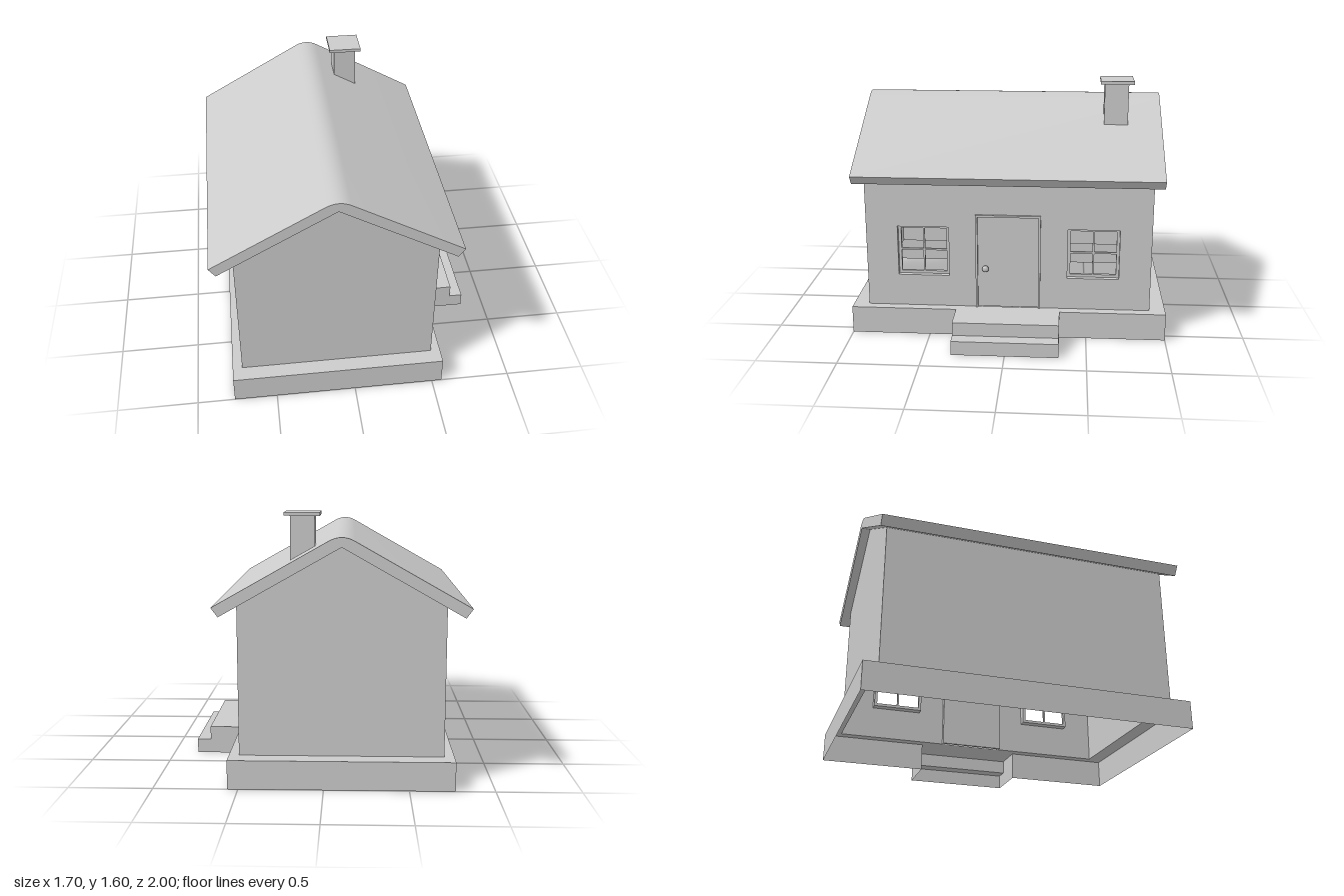
import * as THREE from 'three';
import { toCreasedNormals } from 'three/addons/utils/BufferGeometryUtils.js';

const material = new THREE.MeshStandardMaterial({ color: 0xcccccc, side: THREE.DoubleSide });

// Main dimensions
const WALL = { x0: -0.71, x1: 0.5, z: 0.9, y0: 0.175 };
const BASE = { x0: -0.77, x1: 0.56, z: 1 };
const RIDGE_X = -0.105, RIDGE_Y = 1.41, SLOPE = 0.567, ROOF_RISE = 0.077;
const STEP_Z = 0.33;
const DOOR = { z: 0.205, top: 0.795, trim: 0.013 };
const WINDOW = { z: 0.5375, y: 0.545, size: 0.325, depth: 0.04 };

const roofUnder = (x) => RIDGE_Y - Math.abs(x - RIDGE_X) * SLOPE;
const polygon = (pts) => new THREE.Shape(pts.map(([x, y]) => new THREE.Vector2(x, y)));
const rect = (x0, x1, y0, y1) => polygon([[x0, y0], [x1, y0], [x1, y1], [x0, y1]]);
const extrude = (shape, depth) =>
  new THREE.ExtrudeGeometry(shape, { depth, bevelEnabled: false, curveSegments: 12 });

function add(parent, name, geometry, x = 0, y = 0, z = 0) {
  const mesh = new THREE.Mesh(geometry, material);
  mesh.name = name;
  mesh.position.set(x, y, z);
  parent.add(mesh);
  return mesh;
}

function box(parent, name, w, h, d, x, y, z) {
  return add(parent, name, new THREE.BoxGeometry(w, h, d), x, y, z);
}

// Sweeps a line of points along one direction into flat open panels
function ribbon(pts, dir) {
  const out = [];
  const moved = pts.map((p) => p.map((v, i) => v + dir[i]));
  for (let i = 0; i + 1 < pts.length; i++) {
    const a = pts[i], b = pts[i + 1], c = moved[i + 1], d = moved[i];
    out.push(...a, ...b, ...c, ...a, ...c, ...d);
  }
  const g = new THREE.BufferGeometry();
  g.setAttribute('position', new THREE.Float32BufferAttribute(out, 3));
  g.computeVertexNormals();
  return g;
}

function makeBase() {
  const g = new THREE.Group();
  g.name = 'foundation';
  const { x0, x1, z } = BASE, h = WALL.y0;
  // Skirt, open below and behind the steps
  add(g, 'foundationSides', ribbon(
    [[x1, 0, -STEP_Z], [x1, 0, -z], [x0, 0, -z], [x0, 0, z], [x1, 0, z], [x1, 0, STEP_Z]], [0, h, 0]));
  const ledge = rect(x0, x1, -z, z);
  ledge.holes.push(rect(WALL.x0, WALL.x1, -WALL.z, WALL.z));
  add(g, 'foundationLedge', new THREE.ShapeGeometry(ledge).rotateX(-Math.PI / 2), 0, h, 0);

  // Two steps up to the door
  const profile = [[x1, h], [0.76, h], [0.76, 0.09], [0.845, 0.09], [0.845, 0]];
  add(g, 'steps', ribbon(profile.map(([x, y]) => [x, y, STEP_Z]), [0, 0, -2 * STEP_Z]));
  for (const s of [-1, 1]) {
    add(g, 'stepSide', new THREE.ShapeGeometry(polygon([[x1, 0], ...profile])), 0, 0, s * STEP_Z);
  }
  return g;
}

function makeWalls() {
  const g = new THREE.Group();
  g.name = 'walls';
  const { x0, x1, z, y0 } = WALL, eave = roofUnder(x1);
  const gable = polygon([[x0, y0], [x1, y0], [x1, eave], [RIDGE_X, RIDGE_Y], [x0, roofUnder(x0)]]);
  for (const s of [-1, 1]) add(g, 'gableWall', new THREE.ShapeGeometry(gable), 0, 0, s * z);
  add(g, 'plainWall', ribbon([[x0, y0, -z], [x0, y0, z]], [0, roofUnder(x0) - y0, 0]));

  // Entrance wall with door notch and window openings
  const d = DOOR.z;
  const wall = polygon([[-z, y0], [-d, y0], [-d, DOOR.top], [d, DOOR.top], [d, y0], [z, y0], [z, eave], [-z, eave]]);
  const r = WINDOW.size / 2;
  for (const s of [-1, 1]) {
    const c = s * WINDOW.z;
    wall.holes.push(rect(c - r, c + r, WINDOW.y - r, WINDOW.y + r));
  }
  add(g, 'entranceWall', new THREE.ShapeGeometry(wall).rotateY(Math.PI / 2), x1, 0, 0);
  return g;
}

function makeWindow(side) {
  const g = new THREE.Group();
  g.name = 'window';
  const r = WINDOW.size / 2, w = 0.018, bar = 0.011;
  // Recess, frame ring and cross bars
  add(g, 'windowReveal', ribbon(
    [[0, -r, -r], [0, -r, r], [0, r, r], [0, r, -r], [0, -r, -r]], [-WINDOW.depth, 0, 0]));
  const ring = rect(-r, r, -r, r);
  ring.holes.push(rect(-r + w, r - w, -r + w, r - w));
  add(g, 'windowFrame', extrude(ring, 0.02).rotateY(Math.PI / 2), -WINDOW.depth - 0.01, 0, 0);
  box(g, 'windowBar', 0.014, 2 * (r - w), bar, -WINDOW.depth, 0, 0);
  box(g, 'windowBar', 0.014, bar, 2 * (r - w), -WINDOW.depth, 0, 0);
  g.position.set(WALL.x1, WINDOW.y, side * WINDOW.z);
  return g;
}

function makeDoor() {
  const g = new THREE.Group();
  g.name = 'door';
  const { z, top, trim } = DOOR, y0 = WALL.y0;
  const frame = polygon([[-z, y0], [-z + trim, y0], [-z + trim, top - trim], [z - trim, top - trim],
    [z - trim, y0], [z, y0], [z, top], [-z, top]]);
  add(g, 'doorFrame', extrude(frame, 0.045).rotateY(Math.PI / 2), 0.47, 0, 0);
  const h = top - trim - y0;
  box(g, 'doorPanel', 0.02, h, 2 * (z - trim), 0.483, y0 + h / 2, 0);

  // Round knob on a narrow stem
  const knob = [[0.012, 0], [0.012, 0.012], [0.02, 0.018], [0.021, 0.027], [0.016, 0.035], [0, 0.037]]
    .map(([x, y]) => new THREE.Vector2(x, y));
  add(g, 'doorKnob', toCreasedNormals(new THREE.LatheGeometry(knob, 20), 0.9).rotateZ(-Math.PI / 2), 0.493, 0.44, 0.142);
  return g;
}

function makeRoof() {
  const g = new THREE.Group();
  g.name = 'roof';
  // Thick folded slab with a softened ridge
  const under = 0.705, over = 0.745, round = 0.075;
  const top = RIDGE_Y + ROOF_RISE;
  const s = new THREE.Shape();
  s.moveTo(-under, RIDGE_Y - under * SLOPE);
  s.lineTo(0, RIDGE_Y);
  s.lineTo(under, RIDGE_Y - under * SLOPE);
  s.lineTo(over, top - over * SLOPE);
  s.lineTo(round, top - round * SLOPE);
  s.quadraticCurveTo(0, top, -round, top - round * SLOPE);
  s.lineTo(-over, top - over * SLOPE);
  s.closePath();
  add(g, 'roofSlab', toCreasedNormals(extrude(s, 1.91), 0.4), RIDGE_X, 0, -0.955);

  // Chimney stack cut to the roof slope, with a flat cap
  const x0 = 0.055, x1 = 0.2, sunk = (x) => roofUnder(x) + 0.04;
  const stack = polygon([[x0, sunk(x0)], [x1, sunk(x1)], [x1, 1.575], [x0, 1.575]]);
  add(g, 'chimneyStack', extrude(stack, 0.15), 0, 0, -0.74);
  box(g, 'chimneyCap', 0.21, 0.02, 0.208, 0.1275, 1.585, -0.668);
  return g;
}

export function createModel() {
  const house = new THREE.Group();
  house.name = 'house';
  house.add(makeBase(), makeWalls(), makeDoor(), makeRoof());
  for (const side of [-1, 1]) house.add(makeWindow(side));
  // Centre the footprint, steps included
  house.position.x = -(0.845 - 0.85) / 2;
  const model = new THREE.Group();
  model.name = 'cottage';
  model.add(house);
  return model;
}
